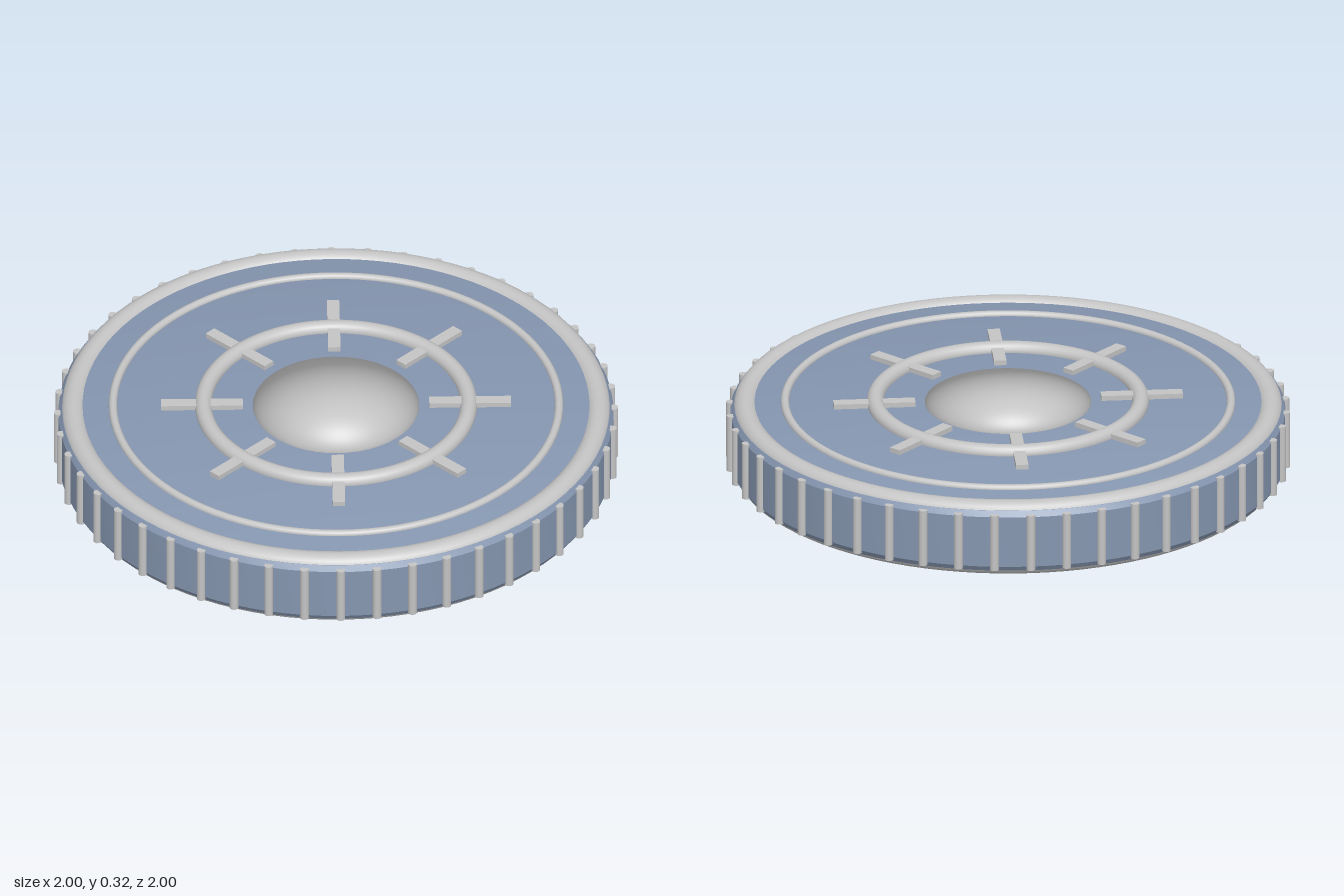
import * as THREE from 'three';
import { toCreasedNormals } from 'three/addons/utils/BufferGeometryUtils.js';

const MID = 0.157;      // height of the disc's middle plane
const FACE = 0.125;     // half thickness of the body

export function createModel() {
  const model = new THREE.Group();
  model.name = 'disc';
  const blue = new THREE.MeshStandardMaterial({ color: 0x8596b0 });
  blue.name = 'blue grey body';
  const silver = new THREE.MeshStandardMaterial({ color: 0xc4c4c4 });
  silver.name = 'light grey trim';

  const add = (parent, name, geometry, material) => {
    const mesh = new THREE.Mesh(geometry, material);
    mesh.name = name;
    parent.add(mesh);
    return mesh;
  };

  // Bevelled disc body
  const profile = [
    [0, -FACE], [0.94, -FACE], [0.97, -0.115], [0.983, -0.095],
    [0.983, 0.095], [0.97, 0.115], [0.94, FACE], [0, FACE],
  ].map(([x, y]) => new THREE.Vector2(x, y));
  const body = toCreasedNormals(new THREE.LatheGeometry(profile, 96), 0.5);
  add(model, 'body', body, blue).position.y = MID;

  // Grip ribs around the wall
  const ribs = new THREE.Group();
  ribs.name = 'gripRibs';
  const ribGeometry = new THREE.CylinderGeometry(0.016, 0.016, 0.21, 12);
  for (let i = 0; i < 48; i++) {
    const a = (i / 48) * Math.PI * 2;
    add(ribs, 'gripRib', ribGeometry, silver)
      .position.set(Math.sin(a) * 0.984, MID, Math.cos(a) * 0.984);
  }
  model.add(ribs);

  // Shallow centre boss: flattened hemisphere that keeps its round shading
  const boss = new THREE.SphereGeometry(0.295, 48, 16, 0, Math.PI * 2, 0, Math.PI / 2);
  const p = boss.attributes.position;
  for (let i = 0; i < p.count; i++) p.setY(i, p.getY(i) * 0.1);

  const ring = (radius, tube) =>
    new THREE.TorusGeometry(radius, tube, 16, 96).rotateX(Math.PI / 2);

  // Raised trim, the same on both faces
  const makeFace = (name) => {
    const face = new THREE.Group();
    face.name = name;
    face.position.y = MID;
    add(face, 'rimRing', ring(0.93, 0.045), silver).position.y = 0.094;
    add(face, 'thinRing', ring(0.79, 0.015), silver).position.y = FACE;
    add(face, 'hubRing', ring(0.47, 0.03), silver).position.y = 0.128;
    add(face, 'centreBoss', boss, silver).position.y = FACE;
    const spokeGeometry = new THREE.BoxGeometry(0.29, 0.036, 0.044).translate(0.475, FACE, 0);
    for (let i = 0; i < 8; i++) {
      add(face, 'spoke', spokeGeometry, silver).rotation.y = (i * Math.PI) / 4;
    }
    model.add(face);
    return face;
  };
  makeFace('topFace');
  makeFace('bottomFace').rotation.x = Math.PI;

  return model;
}
